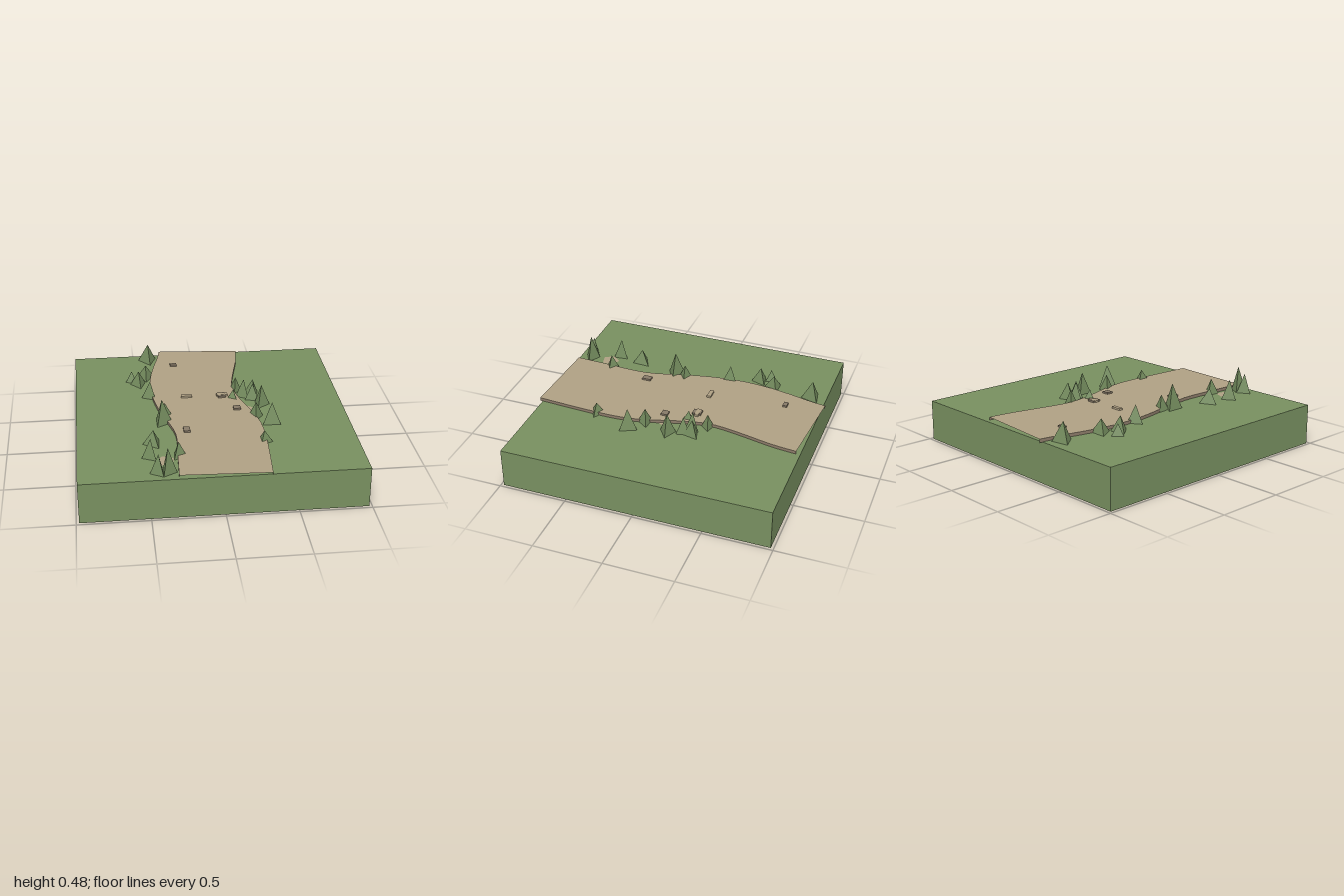
import * as THREE from 'three';

const GROUND = 0.295, PATH = 0.318;

const flat = (color, name, extra = {}) => {
  const m = new THREE.MeshStandardMaterial({ color, ...extra });
  m.name = name;
  return m;
};

// Strip of quads between two equally long rows of points
function ribbon(a, b) {
  const pos = [], index = [];
  a.forEach((p, i) => {
    pos.push(...p.toArray(), ...b[i].toArray());
    if (i) index.push(2 * i - 2, 2 * i, 2 * i - 1, 2 * i, 2 * i + 1, 2 * i - 1);
  });
  const g = new THREE.BufferGeometry();
  g.setAttribute('position', new THREE.Float32BufferAttribute(pos, 3));
  g.setIndex(index);
  g.computeVertexNormals();
  return g;
}

// Smooth path edge through [x, z] points at the path height
const edge = pts => new THREE.CatmullRomCurve3(
  pts.map(([x, z]) => new THREE.Vector3(x, PATH, z))).getSpacedPoints(28);

const lower = row => row.map(p => new THREE.Vector3(p.x, GROUND - 0.002, p.z));

export function createModel() {
  const model = new THREE.Group();
  const two = { side: THREE.DoubleSide };
  const grass = flat(0x789060, 'grass green', two);
  const leaf = flat(0x748c5e, 'tree green', { flatShading: true });
  const dirt = flat(0xb0a184, 'path tan', two);
  const bank = flat(0x8c7b69, 'bank brown', two);
  const rock = flat(0x877a68, 'stone brown');

  const add = (name, geometry, material, x = 0, y = 0, z = 0, parent = model) => {
    const mesh = new THREE.Mesh(geometry, material);
    mesh.name = name;
    mesh.position.set(x, y, z);
    parent.add(mesh);
    return mesh;
  };
  const group = name => {
    const g = new THREE.Group();
    g.name = name;
    model.add(g);
    return g;
  };

  // Ground block, hollow and open underneath
  const block = new THREE.BoxGeometry(1.96, GROUND, 1.96);
  const faces = Array.from(block.index.array);
  faces.splice(18, 6);
  block.setIndex(faces);
  block.clearGroups();
  add('groundBlock', block, grass, 0, GROUND / 2, 0);

  // Winding path with raised banks
  const west = edge([[-0.31, -1], [-0.33, -0.88], [-0.37, -0.72], [-0.41, -0.5], [-0.42, -0.3],
    [-0.4, -0.1], [-0.37, 0.05], [-0.33, 0.2], [-0.29, 0.37], [-0.285, 0.5], [-0.3, 0.75], [-0.31, 0.97]]);
  const east = edge([[0.31, -0.95], [0.29, -0.78], [0.24, -0.55], [0.207, -0.38], [0.2, -0.28],
    [0.22, -0.15], [0.25, -0.03], [0.29, 0.1], [0.33, 0.27], [0.34, 0.45], [0.33, 0.7], [0.31, 1]]);
  add('path', ribbon(west, east), dirt);
  add('rightBank', ribbon(lower(west), west), bank);
  add('leftBank', ribbon(east, lower(east)), bank);

  // Bare patches in the grass: x, z, radius, turn
  [[-0.385, 0.735, 0.067, 0.55], [0.265, 0.03, 0.048, 0.3]].forEach(([x, z, r, turn]) => {
    const patch = new THREE.CircleGeometry(r, 5).rotateX(-Math.PI / 2).rotateY(turn);
    add('barePatch', patch, dirt, x, GROUND + 0.003, z);
  });

  // Stones and slabs on the path: x, z, width, depth
  const stones = group('stones');
  [[-0.215, -0.725, 0.05, 0.032], [0.1, -0.155, 0.055, 0.065],
    [0.19, 0.06, 0.052, 0.05], [-0.205, 0.355, 0.046, 0.065]].forEach(([x, z, w, d]) =>
    add('stone', new THREE.BoxGeometry(w, 0.014, d), rock, x, PATH + 0.006, z, stones));
  [[-0.16, -0.165], [0.105, -0.16]].forEach(([x, z]) =>
    add('slab', new THREE.BoxGeometry(0.082, 0.014, 0.03), dirt, x, PATH + 0.007, z, stones));

  // Three-sided trees: x, z, radius, height, turn
  const trees = group('trees');
  const plant = ([x, z, r, h, turn]) => {
    const tree = add('tree', new THREE.ConeGeometry(r, h, 3), leaf, x, GROUND + h / 2, z, trees);
    tree.rotation.y = turn;
  };
  [[-0.405, -0.875, 0.079, 0.145, 0.17], [-0.55, -0.52, 0.05, 0.085, -1.28],
    [-0.44, -0.57, 0.073, 0.105, 0], [-0.5, -0.45, 0.067, 0.115, 0.18],
    [-0.425, -0.235, 0.066, 0.13, -1.5], [-0.34, 0.1, 0.058, 0.115, 1.68],
    [-0.367, 0.185, 0.075, 0.188, 1.57], [-0.45, 0.49, 0.075, 0.11, -1.64],
    [-0.48, 0.675, 0.062, 0.146, -1.5], [-0.29, 0.68, 0.058, 0.115, 1.48],
    [-0.44, 0.89, 0.06, 0.145, -1.57], [-0.378, 0.888, 0.062, 0.188, 1.57]].forEach(plant);
  [[0.22, -0.275, 0.05, 0.112, -0.2], [0.185, -0.12, 0.055, 0.088, -1.57],
    [0.27, -0.18, 0.06, 0.14, -1.57], [0.34, -0.2, 0.067, 0.125, 0.3],
    [0.33, -0.13, 0.06, 0.125, 0.8], [0.38, -0.025, 0.065, 0.16, 1.66],
    [0.315, 0.165, 0.06, 0.12, -0.1], [0.415, 0.26, 0.075, 0.16, 3.06],
    [0.32, 0.54, 0.06, 0.09, 1.57]].forEach(plant);

  return model;
}
